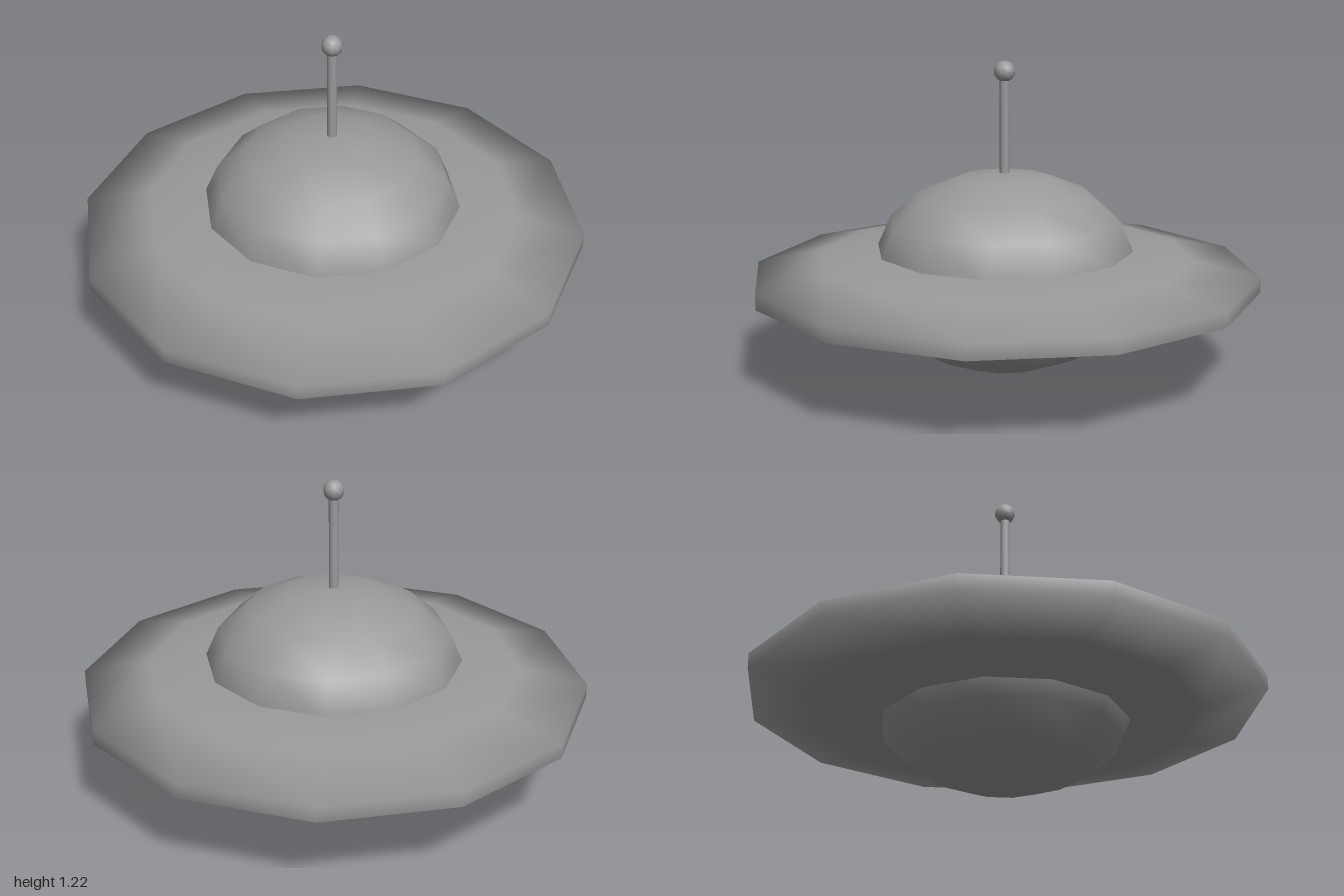
import * as THREE from 'three';

const SIDES = 12;

// Lathe from a bottom-to-top profile of [radius, height], with normals
// straight at the poles and, on a rim of the given radius, nearly level
function lathe(profile, midHeight, rimRadius = Infinity) {
  const geometry = new THREE.LatheGeometry(profile.map(([r, y]) => new THREE.Vector2(r, y)), SIDES);
  const { position, normal } = geometry.attributes;
  const n = new THREE.Vector3();
  for (let i = 0; i < position.count; i++) {
    const x = position.getX(i), z = position.getZ(i);
    const radius = Math.hypot(x, z);
    const up = Math.sign(position.getY(i) - midHeight);
    if (radius < 0.001) n.set(0, up, 0);
    else if (radius > rimRadius - 0.01) n.set(x, 0.2 * up, z).normalize();
    else continue;
    normal.setXYZ(i, n.x, n.y, n.z);
  }
  return geometry;
}

export function createModel() {
  const model = new THREE.Group();
  model.name = 'flyingSaucer';
  const material = new THREE.MeshStandardMaterial({ color: 0x9a9a9a });

  const add = (name, geometry, y = 0) => {
    const mesh = new THREE.Mesh(geometry, material);
    mesh.name = name;
    mesh.position.y = y;
    model.add(mesh);
  };

  // Round cabin: dome above the disc, belly below
  add('cabin', lathe([
    [0, 0], [0.18, 0.027], [0.34, 0.09], [0.455, 0.193], [0.51, 0.32],
    [0.51, 0.478], [0.455, 0.604], [0.34, 0.705], [0.18, 0.77], [0, 0.79],
  ], 0.4));

  // Wide disc with a thin, softly shaded rim
  add('disc', lathe([
    [0, 0.25], [0.46, 0.25], [0.74, 0.285], [1, 0.34],
    [1, 0.397], [0.74, 0.457], [0.48, 0.49], [0, 0.49],
  ], 0.37, 1));

  // Antenna mast and ball tip
  add('antennaMast', new THREE.CylinderGeometry(0.019, 0.019, 0.46, SIDES), 0.95);
  add('antennaTip', new THREE.SphereGeometry(0.041, 10, 8), 1.183);

  return model;
}
